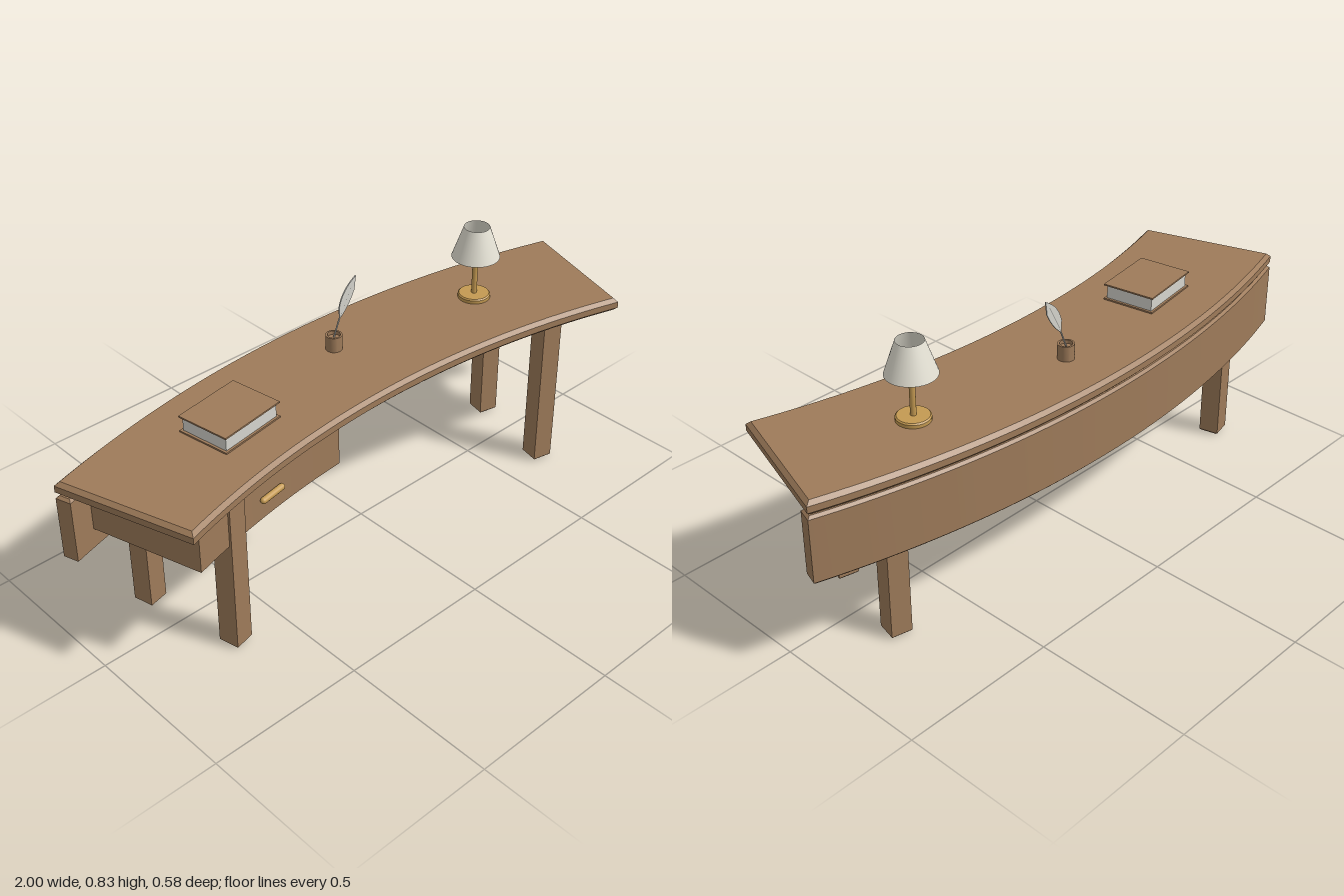
import * as THREE from 'three';
import { toCreasedNormals } from 'three/addons/utils/BufferGeometryUtils.js';

const CZ = 3.05; // centre of the desk's curve, in front of the desk
const HALF = THREE.MathUtils.degToRad(17.39);

function mat(name, color, side = THREE.FrontSide) {
  const m = new THREE.MeshStandardMaterial({ color, side });
  m.name = name;
  return m;
}

// Plan outline extruded upwards from y0 to y1 with chamfered edges
function slab(shape, y0, y1, bevel) {
  const g = new THREE.ExtrudeGeometry(shape, {
    depth: y1 - y0 - 2 * bevel, curveSegments: 32, bevelEnabled: bevel > 0,
    bevelSize: bevel, bevelThickness: bevel, bevelOffset: -bevel, bevelSegments: 1,
  });
  g.rotateX(-Math.PI / 2).translate(0, y0 + bevel, 0);
  return toCreasedNormals(g, 0.5);
}

// Ring sector around the curve centre; angles measured from the -z axis towards +x
function sector(rIn, rOut, a0, a1) {
  const s = new THREE.Shape();
  s.absarc(0, -CZ, rOut, Math.PI / 2 - a1, Math.PI / 2 - a0, false);
  s.absarc(0, -CZ, rIn, Math.PI / 2 - a0, Math.PI / 2 - a1, true);
  s.closePath();
  return s;
}

function square(size) {
  const h = size / 2;
  return new THREE.Shape([[-h, -h], [h, -h], [h, h], [-h, h]].map(([x, y]) => new THREE.Vector2(x, y)));
}

// Puts an object on the curve, turned to face its centre
function placeOnCurve(obj, r, a, y) {
  obj.position.set(r * Math.sin(a), y, CZ - r * Math.cos(a));
  obj.rotation.y = -a;
}

export function createModel() {
  const wood = mat('wood', 0x9e7b5a);
  const brass = mat('brass', 0xc49a52);
  const paper = mat('paper', 0xd6d5ce);
  const shadeCloth = mat('shadeCloth', 0xe4e1d4, THREE.DoubleSide);

  const model = new THREE.Group();
  model.name = 'curvedDesk';
  const add = (name, geo, material, parent = model) => {
    const m = new THREE.Mesh(geo, material);
    m.name = name;
    parent.add(m);
    return m;
  };

  // Curved top and back panel
  add('deskTop', slab(sector(2.893, 3.345, -HALF, HALF), 0.53, 0.575, 0.012), wood);
  add('backPanel', slab(sector(3.295, 3.345, -HALF, HALF), 0.31, 0.529, 0.008), wood);

  // Legs, standing on radial lines
  const legGeo = slab(square(0.066), 0, 0.531, 0.007);
  for (const side of [-1, 1]) {
    for (const [name, r] of [['frontLeg', 2.955], ['backLeg', 3.277]]) {
      placeOnCurve(add(name, legGeo, wood), r, side * 0.225, 0);
    }
  }

  // Drawer with a rounded bar handle
  add('drawer', slab(sector(2.929, 3.297, -0.28, -0.0716), 0.378, 0.52, 0.003), wood);
  const handle = new THREE.CapsuleGeometry(0.01, 0.078, 6, 16).rotateZ(Math.PI / 2);
  placeOnCurve(add('drawerHandle', handle, brass), 2.918, -0.174, 0.453);

  // Book: two covers around a block of pages
  const book = new THREE.Group();
  book.name = 'book';
  book.position.set(-0.485, 0.575, -0.025);
  book.rotation.y = 0.154;
  model.add(book);
  add('pages', new THREE.BoxGeometry(0.212, 0.045, 0.162), paper, book).position.y = 0.0275;
  for (const y of [0.0027, 0.0523]) {
    add('bookCover', new THREE.BoxGeometry(0.228, 0.005, 0.177), wood, book).position.y = y;
  }

  // Inkwell: hollow pot
  const potProfile = [[0, 0], [0.026, 0], [0.026, 0.05], [0.02, 0.05], [0.02, 0.038], [0, 0.038]];
  const lathe = (pts, seg = 32) =>
    toCreasedNormals(new THREE.LatheGeometry(pts.map(([x, y]) => new THREE.Vector2(x, y)), seg), 0.5);
  add('inkwell', lathe(potProfile), wood).position.set(0, 0.575, -0.12);

  // Quill: slim shaft and a flat leaf-shaped vane
  const quill = new THREE.Group();
  quill.name = 'quill';
  quill.position.z = -0.12;
  model.add(quill);
  const shaft = new THREE.CatmullRomCurve3([
    new THREE.Vector3(0, 0.615, 0), new THREE.Vector3(0.025, 0.675, 0), new THREE.Vector3(0.075, 0.772, 0),
  ]);
  add('quillShaft', new THREE.TubeGeometry(shaft, 12, 0.0025, 8), paper, quill);
  const vane = new THREE.Shape();
  vane.moveTo(0.023, 0.67);
  vane.lineTo(0.022, 0.71);
  vane.quadraticCurveTo(0.035, 0.765, 0.09, 0.795);
  vane.lineTo(0.084, 0.75);
  vane.quadraticCurveTo(0.06, 0.7, 0.023, 0.67);
  const vaneGeo = new THREE.ExtrudeGeometry(vane, { depth: 0.004, bevelEnabled: false });
  add('quillVane', vaneGeo.translate(0, 0, -0.002), paper, quill);

  // Table lamp
  const lamp = new THREE.Group();
  lamp.name = 'lamp';
  lamp.position.set(0.54, 0.575, -0.043);
  model.add(lamp);
  add('lampBase', lathe([[0, 0], [0.052, 0], [0.052, 0.011], [0.048, 0.015], [0, 0.015]]), brass, lamp);
  add('lampStem', new THREE.CylinderGeometry(0.009, 0.009, 0.155, 20), brass, lamp).position.y = 0.09;
  add('lampSocket', new THREE.CylinderGeometry(0.014, 0.014, 0.03, 20), brass, lamp).position.y = 0.175;
  for (let i = 0; i < 3; i++) {
    const arm = new THREE.CylinderGeometry(0.0025, 0.0025, 0.062, 8).rotateZ(Math.PI / 2).translate(0.031, 0, 0);
    const m = add('shadeArm', arm, brass, lamp);
    m.position.y = 0.175;
    m.rotation.y = Math.PI / 2 + (i * 2 * Math.PI) / 3;
  }
  add('lampShade', new THREE.CylinderGeometry(0.041, 0.077, 0.104, 40, 1, true), shadeCloth, lamp).position.y = 0.199;

  return model;
}
